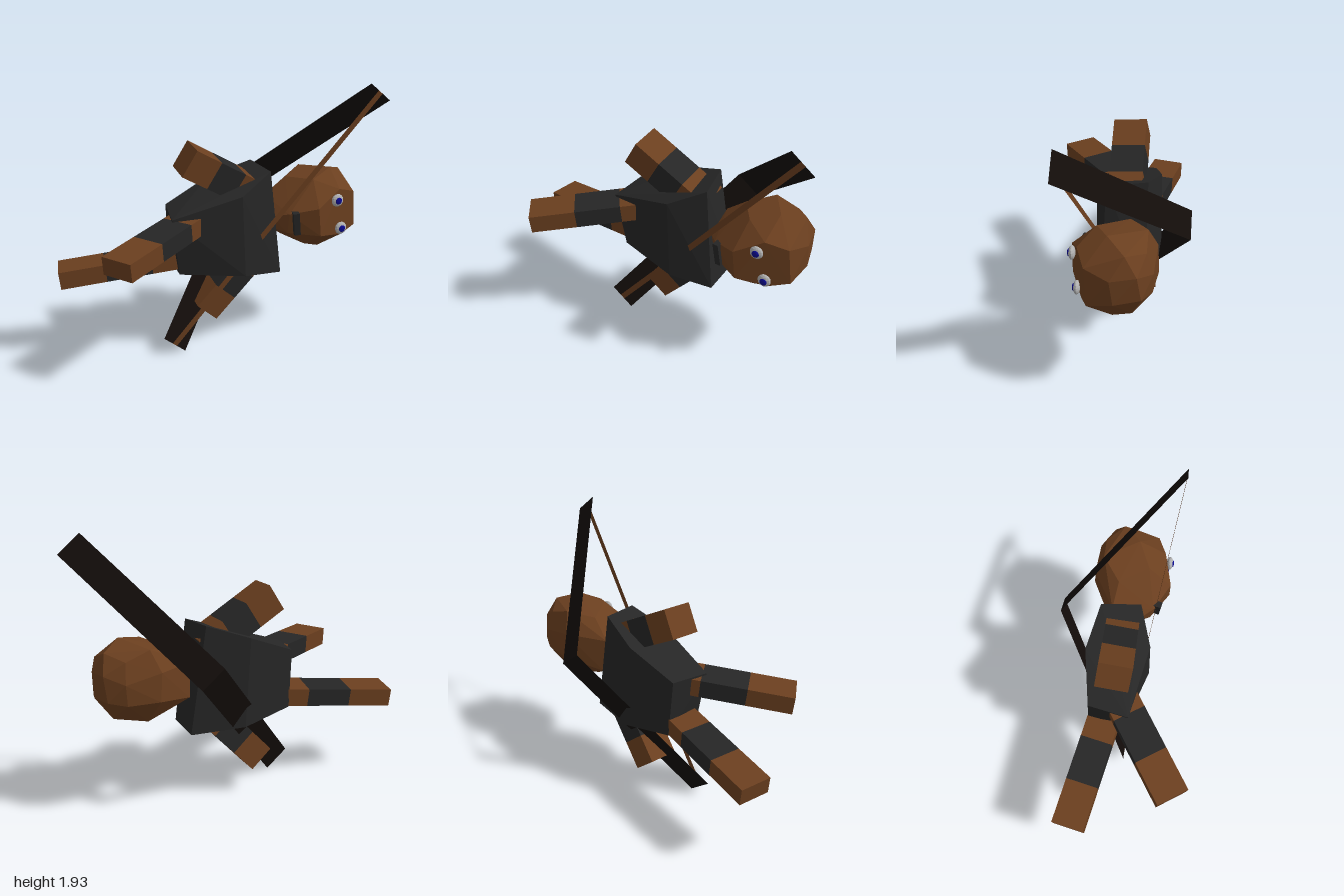
import * as THREE from 'three';
import { ConvexGeometry } from 'three/addons/geometries/ConvexGeometry.js';

const V = (x, y, z) => new THREE.Vector3(x, y, z);
const mat = (color, side = THREE.FrontSide) =>
  new THREE.MeshStandardMaterial({ color, side, flatShading: true });

const skin = mat(0x6b3f1f);
const cloth = mat(0x262626);
const bowWood = mat(0x130d0a, THREE.DoubleSide);
const cord = mat(0x6b3f1f, THREE.DoubleSide);
const eyeGrey = mat(0xb0b0b0);
const pupilBlue = mat(0x0a0a90);

function add(parent, name, geometry, material) {
  const mesh = new THREE.Mesh(geometry, material);
  mesh.name = name;
  parent.add(mesh);
  return mesh;
}

const hull = (points) => new ConvexGeometry(points.map((p) => V(...p)));

// Banded box limb running from its tip along dir, with its width along side
function limb(name, tip, dir, side, width, thick, length) {
  const group = new THREE.Group();
  group.name = name;
  const z = dir.clone().normalize();
  const x = side.clone().addScaledVector(z, -side.dot(z)).normalize();
  const y = z.clone().cross(x);
  group.quaternion.setFromRotationMatrix(new THREE.Matrix4().makeBasis(x, y, z));
  group.position.copy(tip);
  const step = length / 3;
  [['Tip', skin], ['Sleeve', cloth], ['Root', skin]].forEach(([part, material], i) => {
    add(group, name + part, new THREE.BoxGeometry(width, thick, step), material)
      .position.z = (i + 0.5) * step;
  });
  return group;
}

// Flat ribbon of constant width vector swept along a path
function ribbon(path, across) {
  const pos = [];
  for (let i = 0; i < path.length - 1; i++) {
    const [a, b] = [path[i], path[i + 1]];
    const at = (p, s) => p.clone().addScaledVector(across, s);
    const [a0, a1, b0, b1] = [at(a, -0.5), at(a, 0.5), at(b, -0.5), at(b, 0.5)];
    for (const p of [a0, a1, b1, a0, b1, b0]) pos.push(p.x, p.y, p.z);
  }
  const g = new THREE.BufferGeometry();
  g.setAttribute('position', new THREE.Float32BufferAttribute(pos, 3));
  g.computeVertexNormals();
  return g;
}

export function createModel() {
  const model = new THREE.Group();
  model.name = 'archer';

  // Torso: hip, chest and shoulder cross-sections
  add(model, 'torso', hull([
    [-0.38, 1.05, -0.10], [-0.20, 1.07, -0.33], [-0.17, 0.64, -0.33], [-0.31, 0.62, -0.10],
    [0.00, 1.19, 0.22], [0.14, 1.23, -0.21], [0.19, 0.58, -0.20], [0.02, 0.59, 0.24],
    [0.27, 1.32, 0.26], [0.37, 1.34, 0.00], [0.48, 0.56, 0.06], [0.32, 0.55, 0.33],
  ]), cloth);

  // Head: faceted, narrowing toward the neck and chin
  add(model, 'head', hull([
    // chin and neck
    [0.33, 1.01, 0.39], [0.34, 0.86, 0.37], [0.31, 0.97, 0.25], [0.34, 0.87, 0.24],
    [0.42, 1.08, 0.10], [0.45, 0.83, 0.09],
    // face
    [0.44, 1.06, 0.57], [0.46, 0.85, 0.58], [0.64, 1.17, 0.61], [0.69, 0.81, 0.61],
    [0.80, 1.12, 0.63], [0.83, 0.85, 0.63],
    // upper side
    [0.55, 1.23, 0.44], [0.75, 1.28, 0.45], [0.93, 1.23, 0.41],
    [0.54, 1.21, 0.20], [0.75, 1.25, 0.17], [0.90, 1.19, 0.25],
    // crown
    [1.00, 1.10, 0.36], [1.00, 0.92, 0.33], [0.94, 1.08, 0.52], [0.95, 0.90, 0.50],
    // lower side
    [0.48, 0.75, 0.42], [0.60, 0.71, 0.46], [0.82, 0.71, 0.45], [0.93, 0.78, 0.36],
    [0.52, 0.76, 0.18], [0.75, 0.73, 0.21],
    // back
    [0.73, 1.10, 0.09], [0.75, 0.90, 0.09], [0.94, 1.05, 0.22], [0.93, 0.90, 0.22],
  ]), skin);

  // Eyes: flattened balls with a pupil in front
  const look = V(-0.45, 0, 0.89).normalize();
  [['rightEye', V(0.59, 1.1, 0.625)], ['leftEye', V(0.655, 0.87, 0.625)]].forEach(([name, p]) => {
    const eye = new THREE.Group();
    eye.name = name;
    eye.position.copy(p);
    eye.quaternion.setFromUnitVectors(V(0, 0, 1), look);
    add(eye, name + 'Ball', new THREE.SphereGeometry(0.047, 12, 8), eyeGrey).scale.z = 0.5;
    const pupil = add(eye, name + 'Pupil', new THREE.SphereGeometry(0.026, 10, 6), pupilBlue);
    pupil.scale.z = 0.4;
    pupil.position.z = 0.02;
    model.add(eye);
  });

  // Mouth
  const mouth = add(model, 'mouth', new THREE.BoxGeometry(0.045, 0.17, 0.06), cloth);
  mouth.position.set(0.36, 0.945, 0.43);
  mouth.rotation.set(0, -0.7, 0.14, 'ZYX');

  // Arms and legs
  const armSide = V(-0.12, -0.02, 0.2);
  model.add(
    limb('rightArm', V(-0.2, 1.447, -0.135), V(0.76, -0.5, 0.41), armSide, 0.23, 0.21, 0.63),
    limb('leftArm', V(-0.025, 0.262, -0.135), V(0.535, 0.748, 0.396), armSide, 0.23, 0.2, 0.63),
    limb('rightLeg', V(-0.99, 0.908, -0.02), V(0.985, 0.1, -0.09), V(0.02, 0, 0.24), 0.24, 0.13, 0.98),
    limb('leftLeg', V(-0.86, 0.62, -0.755), V(0.76, 0.11, 0.64), V(-0.16, 0, 0.17), 0.235, 0.128, 0.98),
  );

  // Bow and its drawn string
  const across = V(0.14, -0.13, 0.075);
  const top = V(0.8, 1.875, 0.8);
  const bottom = V(-0.36, 0.072, -0.115);
  const bow = new THREE.Group();
  bow.name = 'bow';
  add(bow, 'bowLimbs', ribbon([top, V(0.585, 1.075, -0.22), bottom], across), bowWood);
  add(bow, 'bowString', ribbon([top, V(0.17, 0.88, 0.285), bottom],
    across.clone().multiplyScalar(0.2)), cord);
  model.add(bow);

  return model;
}
